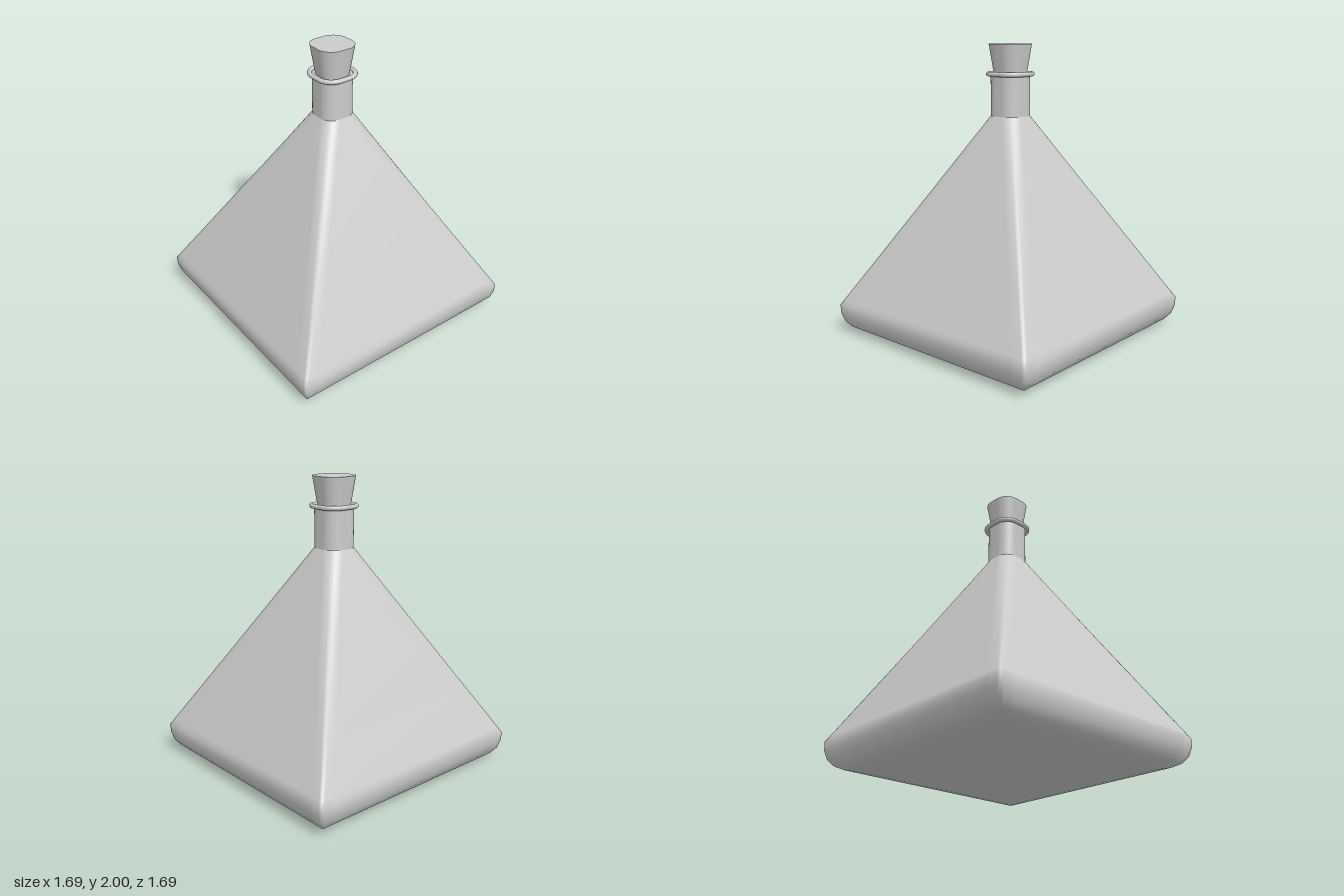
import * as THREE from 'three';

const STEPS = 8; // segments per corner

// One square cross-section: half width h, corner size r, sharp 0 = round corners, 1 = square corners
function section(h, y, r, sharp) {
  const points = [];
  for (let c = 0; c < 4; c++) {
    const cos = Math.round(Math.cos(c * Math.PI / 2)), sin = Math.round(Math.sin(c * Math.PI / 2));
    for (let k = 0; k <= STEPS; k++) {
      const t = k / STEPS, a = t * Math.PI / 2;
      const u = h - r + r * THREE.MathUtils.lerp(Math.cos(a), Math.min(1, 2 - 2 * t), sharp);
      const v = h - r + r * THREE.MathUtils.lerp(Math.sin(a), Math.min(1, 2 * t), sharp);
      points.push(u * cos - v * sin, y, u * sin + v * cos);
    }
  }
  return points;
}

// Skin a list of sections [h, y, r, sharp], running up the outside
function loft(sections) {
  const n = 4 * (STEPS + 1), index = [];
  for (let j = 0; j < sections.length - 1; j++) {
    for (let i = 0; i < n; i++) {
      const a = j * n + i, b = j * n + (i + 1) % n;
      index.push(a, a + n, b, b, a + n, b + n);
    }
  }
  const geometry = new THREE.BufferGeometry();
  geometry.setAttribute('position', new THREE.Float32BufferAttribute(sections.flatMap(s => section(...s)), 3));
  geometry.setIndex(index);
  geometry.computeVertexNormals();
  return geometry;
}

export function createModel() {
  const model = new THREE.Group();
  const material = new THREE.MeshStandardMaterial({ color: 0xcccccc });
  const add = (name, sections) => {
    const mesh = new THREE.Mesh(loft(sections), material);
    mesh.name = name;
    model.add(mesh);
  };

  // Pyramid body: flat base, rolled lower edge, straight slopes up to the neck
  const body = [[0, 0, 0, 1], [0.62, 0, 0.1, 1], [0.68, 0, 0.1, 1], [0.74, 0.01, 0.1, 1],
    [0.79, 0.036, 0.1, 1], [0.825, 0.08, 0.1, 1], [0.842, 0.14, 0.1, 1], [0.845, 0.2, 0.1, 1]];
  for (const t of [0.03, 0.25, 0.5, 0.75, 0.9, 1]) {
    body.push([0.845 - 0.725 * t, 0.2 + 1.32 * t, 0.1 - 0.01 * t, 1 - t]);
  }
  add('body', body);

  // Neck and its lip around the stopper
  add('neck', [[0.12, 1.52, 0.09, 0], [0.12, 1.8, 0.09, 0]]);
  add('neckLip', [[0.12, 1.8, 0.09, 0], [0.09, 1.8, 0.07, 0]]);

  // Rounded collar ring
  const ring = [];
  for (let i = 0; i <= 12; i++) {
    const a = -Math.PI + i * Math.PI / 6;
    const out = 0.016 * Math.cos(a);
    ring.push([0.134 + out, 1.8 + 0.016 * Math.sin(a), 0.1 + out, 0]);
  }
  add('collarRing', ring);

  // Tapered stopper with a flat top
  add('stopper', [[0.098, 1.78, 0.075, 0], [0.132, 2, 0.1, 0]]);
  add('stopperTop', [[0.132, 2, 0.1, 0], [0, 2, 0, 0]]);

  return model;
}
